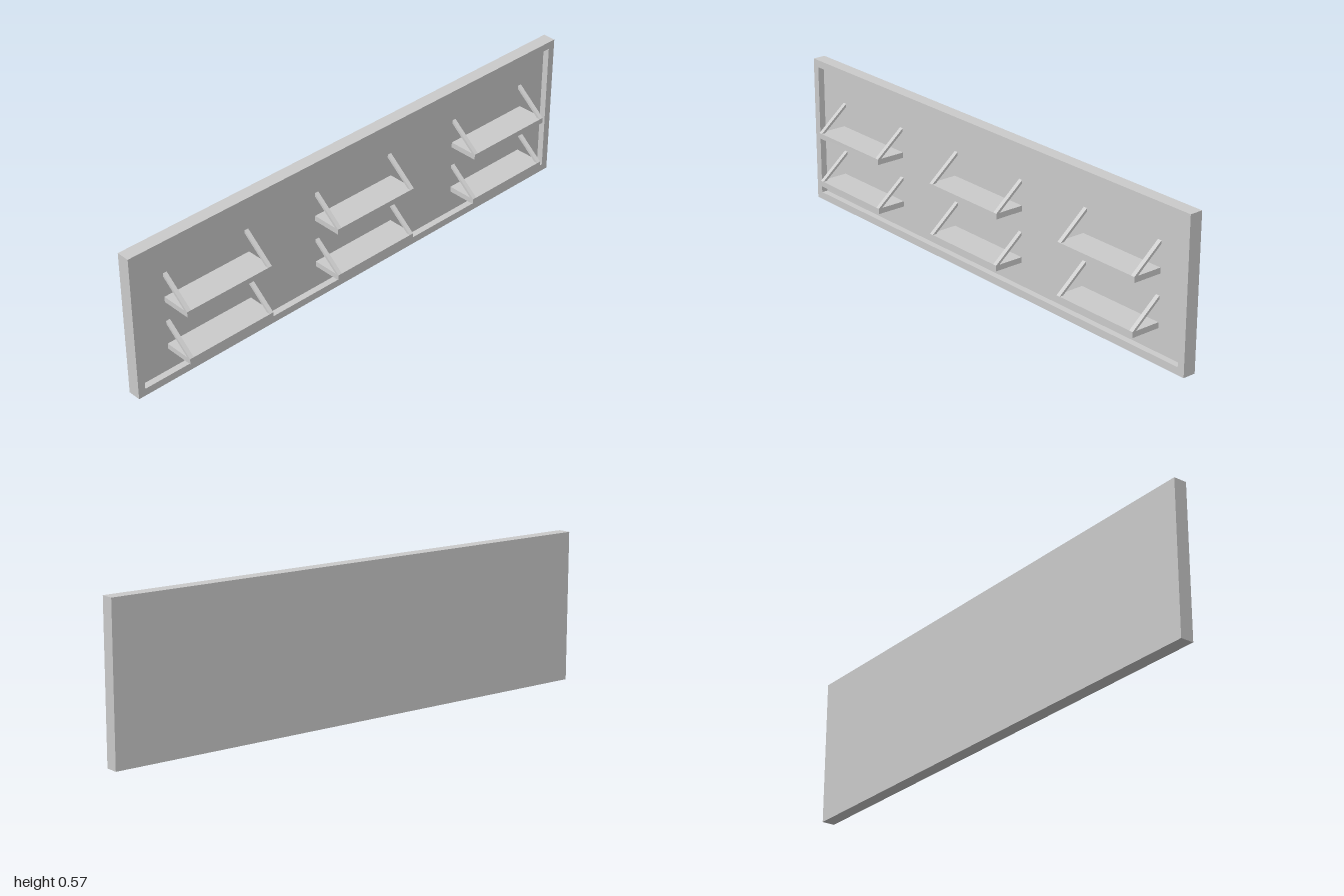
import * as THREE from 'three';

const W = 2, H = 0.566, BORDER = 0.028;
const BACK = -0.07, PANEL = -0.045, RIM = -0.02, FRONT = 0.07;
const SHELF_W = 0.364, SHELF_T = 0.021, STRUT_W = 0.016;

const material = new THREE.MeshStandardMaterial({ color: 0xcccccc });

function part(name, geometry, parent) {
  const mesh = new THREE.Mesh(geometry, material);
  mesh.name = name;
  parent.add(mesh);
  return mesh;
}

// Closed [x, y] outline as a path
const outline = (points) => points.map(([x, y]) => new THREE.Vector2(x, y));
const rect = (x, y0, y1) => outline([[-x, y0], [x, y0], [x, y1], [-x, y1]]);

// Side profile [z, y] extruded along x, centred on x = 0
function extrudeAcross(points, width) {
  const geometry = new THREE.ExtrudeGeometry(new THREE.Shape(outline(points)), { depth: width, bevelEnabled: false });
  return geometry.translate(0, 0, -width / 2).rotateY(-Math.PI / 2);
}

function createShelf() {
  const shelf = new THREE.Group();
  shelf.name = 'shelf';

  // Flat board running back to the recessed panel
  const depth = FRONT - PANEL;
  part('shelfBoard', new THREE.BoxGeometry(SHELF_W, SHELF_T, depth), shelf)
    .position.set(0, SHELF_T / 2, (FRONT + PANEL) / 2);

  // Slanted struts from the front edge up to the panel
  const slope = 0.82, foot = 0.015;
  const profile = [
    [FRONT, SHELF_T],
    [FRONT - foot, SHELF_T],
    [PANEL, SHELF_T + (depth - foot) * slope],
    [PANEL, SHELF_T + depth * slope],
  ];
  for (const side of [-1, 1]) {
    part(side > 0 ? 'leftStrut' : 'rightStrut', extrudeAcross(profile, STRUT_W), shelf)
      .position.x = side * (SHELF_W - STRUT_W) / 2;
  }
  return shelf;
}

export function createModel() {
  const model = new THREE.Group();
  model.name = 'wallShelfBoard';

  // Back panel, full size
  part('backPanel', new THREE.BoxGeometry(W, H, PANEL - BACK), model)
    .position.set(0, H / 2, (PANEL + BACK) / 2);

  // Raised frame around the panel
  const frame = new THREE.Shape(rect(W / 2, 0, H));
  frame.holes.push(new THREE.Path(rect(W / 2 - BORDER, BORDER, H - BORDER).reverse()));
  part('frame', new THREE.ExtrudeGeometry(frame, { depth: RIM - PANEL, bevelEnabled: false }), model)
    .position.z = PANEL;

  // Two rows of three shelves
  for (const y of [0.115, 0.308]) {
    for (const x of [-0.667, -0.002, 0.672]) {
      const shelf = createShelf();
      shelf.position.set(x, y, 0);
      model.add(shelf);
    }
  }
  return model;
}
